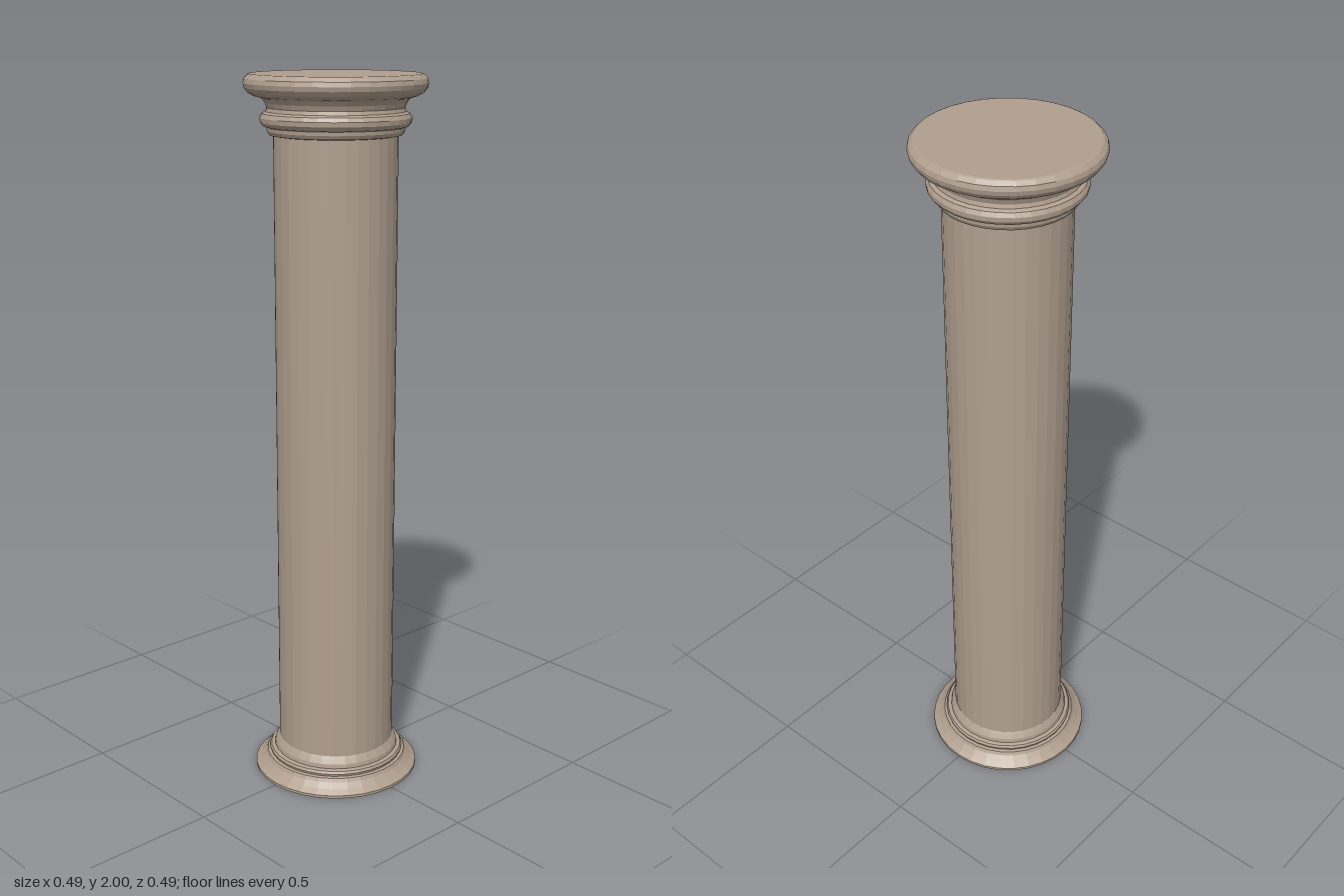
import * as THREE from 'three';

const SIDES = 32;

export function createModel() {
  const column = new THREE.Group();
  column.name = 'column';
  const stone = new THREE.MeshStandardMaterial({ color: 0xb09f8f, flatShading: true });
  stone.name = 'warm stone';

  // Turn a [radius, height] profile, listed from bottom to top
  const turn = (name, profile) => {
    const points = profile.map(([r, y]) => new THREE.Vector2(r, y));
    const mesh = new THREE.Mesh(new THREE.LatheGeometry(points, SIDES), stone);
    mesh.name = name;
    column.add(mesh);
  };

  // Base: flat foot, hollow flare, two small steps
  turn('base', [
    [0, 0], [0.238, 0], [0.238, 0.008], [0.222, 0.02], [0.208, 0.034], [0.203, 0.044],
    [0.194, 0.046], [0.196, 0.053], [0.192, 0.06], [0.181, 0.063],
    [0.179, 0.075], [0.172, 0.087], [0.167, 0.095],
  ]);

  // Plain straight shaft
  turn('shaft', [[0.167, 0.095], [0.167, 1.84]]);

  // Collar: fillet, rounded ring and hollow neck
  turn('collar', [
    [0.167, 1.84], [0.178, 1.842], [0.184, 1.852], [0.185, 1.862],
    [0.194, 1.865], [0.202, 1.875], [0.203, 1.887], [0.197, 1.898],
    [0.187, 1.903], [0.184, 1.913], [0.189, 1.926], [0.198, 1.938],
  ]);

  // Round top slab with a softened rim
  turn('topSlab', [
    [0.198, 1.938], [0.218, 1.943], [0.234, 1.952], [0.243, 1.964],
    [0.246, 1.976], [0.243, 1.988], [0.233, 1.998], [0.228, 2], [0, 2],
  ]);

  return column;
}
